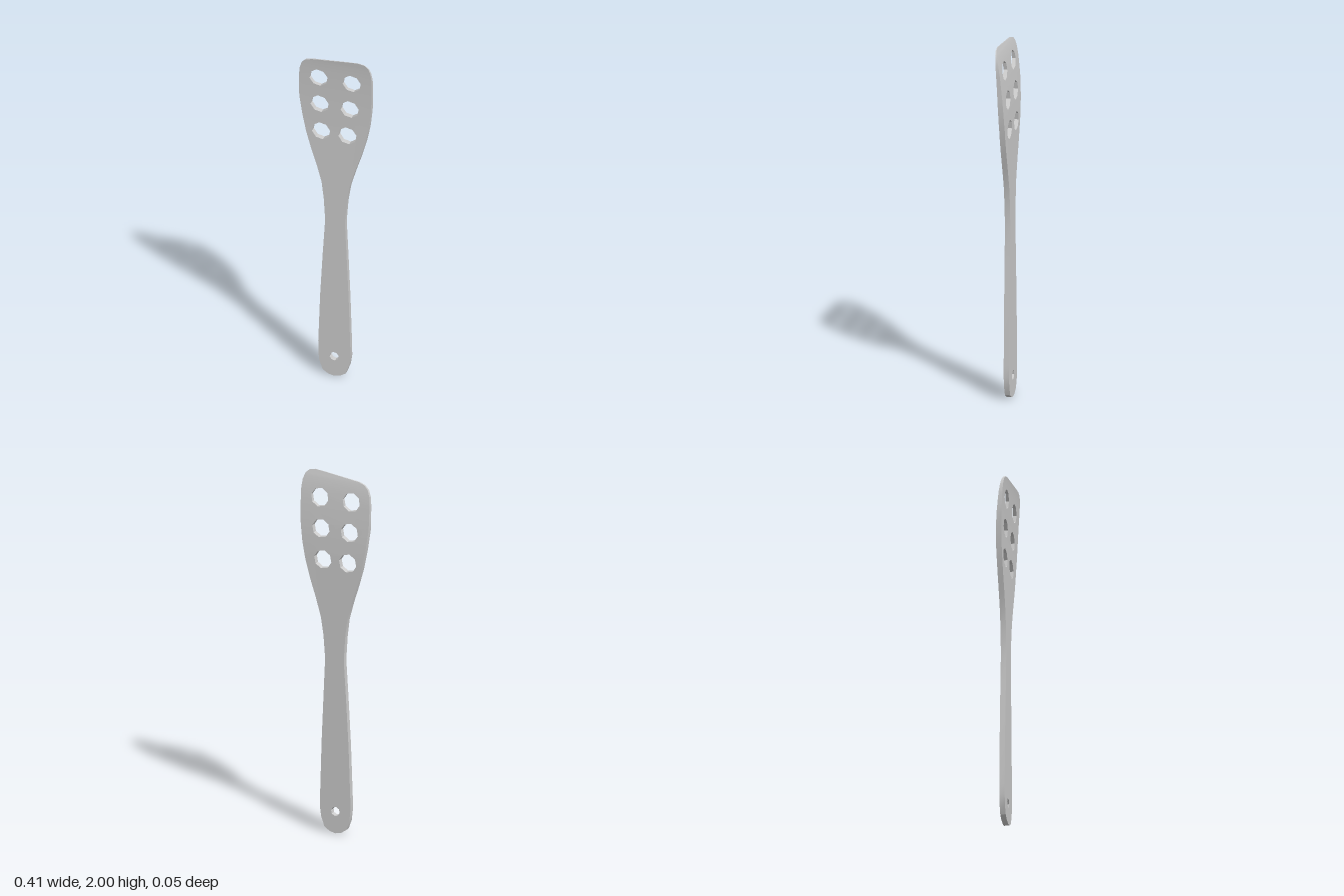
import * as THREE from 'three';
import { toCreasedNormals } from 'three/addons/utils/BufferGeometryUtils.js';

// Side profile of the blade: [height, front z, back z]
const PROFILE = [
  [0, 0.003, -0.026], [1.55, 0.004, -0.026], [1.64, 0.006, -0.023], [1.72, 0.008, -0.019],
  [1.8, 0.011, -0.012], [1.86, 0.014, -0.006], [1.91, 0.017, 0.001], [1.96, 0.021, 0.011], [2, 0.026, 0.023],
];

// Front (t = 1) to back (t = 0) depth at a given height
function depthAt(y, t) {
  let i = 1;
  while (i < PROFILE.length - 1 && y > PROFILE[i][0]) i++;
  const [a, b] = [PROFILE[i - 1], PROFILE[i]];
  const k = (y - a[0]) / (b[0] - a[0]);
  const front = a[1] + (b[1] - a[1]) * k;
  const back = a[2] + (b[2] - a[2]) * k;
  return back + (front - back) * t;
}

// Part of a polygon on one side (s = 1 above, -1 below) of a height
function clip(poly, level, s) {
  const out = [];
  poly.forEach((p, i) => {
    const q = poly[(i + 1) % poly.length];
    const dp = (p.y - level) * s, dq = (q.y - level) * s;
    if (dp >= 0) out.push(p);
    if (dp * dq < 0) out.push(p.clone().lerp(q, dp / (dp - dq)));
  });
  return out;
}

// Cut every triangle at the profile heights so the plate can bend
function sliceAndBend(geometry) {
  const src = geometry.toNonIndexed().attributes.position;
  let polys = [];
  for (let i = 0; i < src.count; i += 3) {
    polys.push([0, 1, 2].map((k) => new THREE.Vector3().fromBufferAttribute(src, i + k)));
  }
  for (const [level] of PROFILE.slice(1, -1)) {
    polys = polys.flatMap((p) => [clip(p, level, 1), clip(p, level, -1)].filter((c) => c.length > 2));
  }
  const points = [];
  for (const p of polys) {
    for (let i = 1; i < p.length - 1; i++) {
      const [a, b, c] = [p[0], p[i], p[i + 1]];
      const area = b.clone().sub(a).cross(c.clone().sub(a)).length();
      if (area > 1e-9) points.push(a, b, c);
    }
  }
  const bent = points.map((p) => new THREE.Vector3(p.x, p.y, depthAt(p.y, p.z)));
  return toCreasedNormals(new THREE.BufferGeometry().setFromPoints(bent), 0.6);
}

function hole(x, y, r) {
  const pts = [];
  for (let i = 0; i < 8; i++) {
    const a = ((i + 0.25) / 8) * Math.PI * 2;
    pts.push(new THREE.Vector2(x + r * Math.cos(a), y + r * Math.sin(a)));
  }
  return new THREE.Path(pts);
}

export function createModel() {
  const group = new THREE.Group();
  group.name = 'slottedTurner';

  // Outline, counter-clockwise from the handle's end
  const outline = [
    [-0.012, 0], [0.022, 0.007], [0.054, 0.028], [0.073, 0.08], [0.081, 0.135], [0.08, 0.2],
    [0.071, 0.5], [0.06, 0.75], [0.05, 0.97], [0.06, 1.1], [0.076, 1.2], [0.105, 1.3],
    [0.138, 1.4], [0.166, 1.5], [0.186, 1.6], [0.198, 1.7], [0.203, 1.8], [0.205, 1.89],
    [0.2, 1.94], [0.188, 1.975], [0.168, 1.993], [0.135, 2], [0.08, 1.995],
    [-0.13, 1.97], [-0.165, 1.958], [-0.188, 1.935], [-0.2, 1.9], [-0.205, 1.85],
    [-0.205, 1.72], [-0.188, 1.6], [-0.168, 1.5], [-0.14, 1.4], [-0.108, 1.3],
    [-0.081, 1.2], [-0.069, 1.1], [-0.061, 0.97], [-0.075, 0.75], [-0.089, 0.5],
    [-0.1, 0.2], [-0.1, 0.135], [-0.094, 0.08], [-0.075, 0.028], [-0.045, 0.007],
  ];
  const shape = new THREE.Shape(outline.map(([x, y]) => new THREE.Vector2(x, y)));

  // Blade holes in three rows, and the hanging hole
  for (const [left, right, y] of [[-0.095, 0.092, 1.857], [-0.091, 0.078, 1.69], [-0.084, 0.064, 1.52]]) {
    shape.holes.push(hole(left, y, 0.052), hole(right, y, 0.052));
  }
  shape.holes.push(hole(-0.011, 0.122, 0.026));

  const plate = new THREE.ExtrudeGeometry(shape, { depth: 1, bevelEnabled: false });
  const mesh = new THREE.Mesh(sliceAndBend(plate), new THREE.MeshStandardMaterial({ color: 0xcccccc }));
  mesh.name = 'bladeAndHandle';
  group.add(mesh);
  return group;
}
